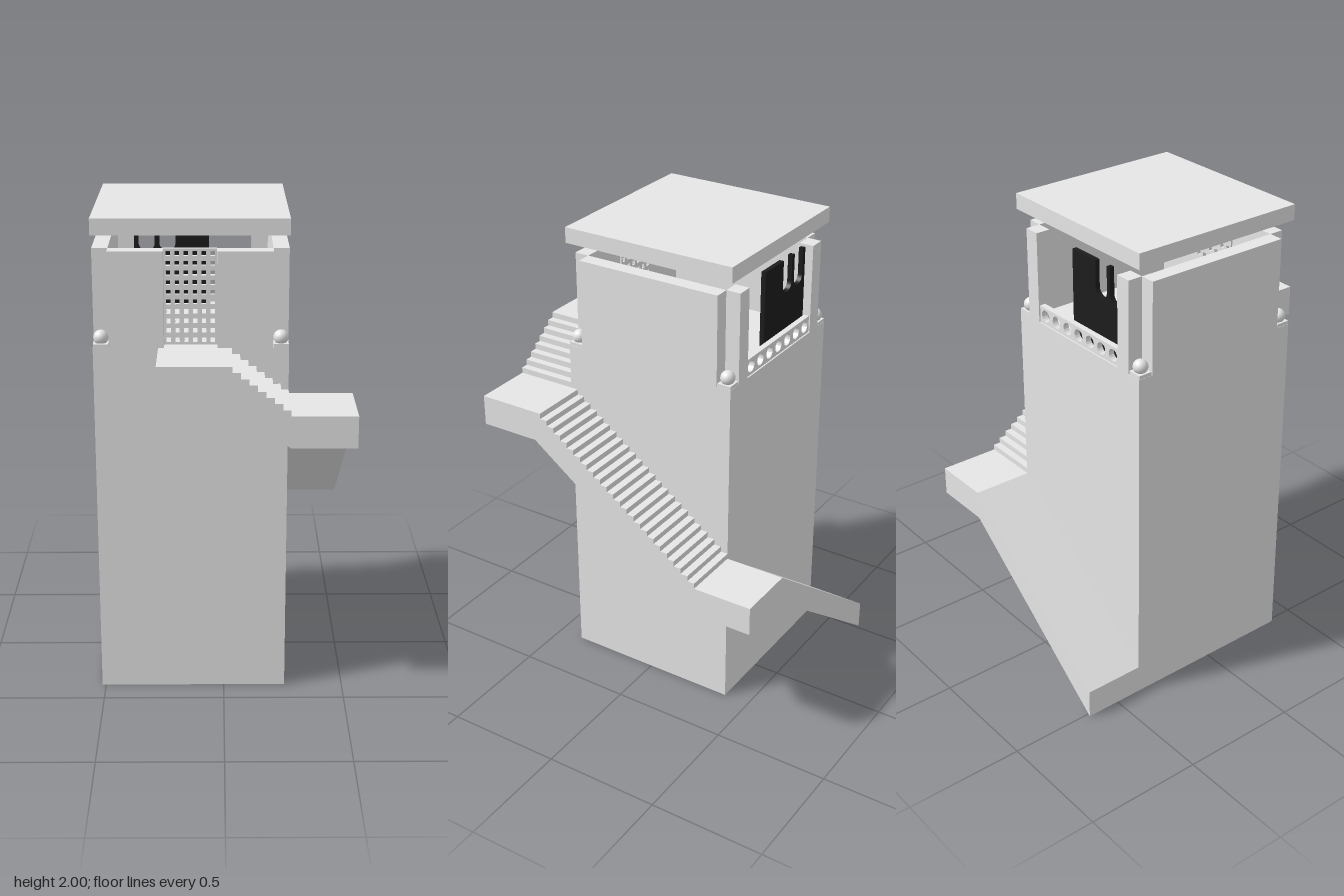
import * as THREE from 'three';

const CX = -0.129, HALF = 0.386, IN = 0.323, FLOOR = 1.487, WALL_TOP = 1.872;
const EAST = CX + HALF, WEST = CX - HALF;

export function createModel() {
  const stone = new THREE.MeshStandardMaterial({ color: 0xe6e6e6, side: THREE.DoubleSide });
  stone.name = 'stone';
  const black = new THREE.MeshStandardMaterial({ color: 0x1c1c1c, side: THREE.DoubleSide });
  black.name = 'black';
  const model = new THREE.Group();
  model.name = 'watchtower';

  const add = (name, geo, x = 0, y = 0, z = 0, parent = model, material = stone) => {
    const mesh = new THREE.Mesh(geo, material);
    mesh.name = name;
    mesh.position.set(x, y, z);
    parent.add(mesh);
  };
  // box given by its limits
  const block = (name, x0, x1, y0, y1, z0, z1, parent) =>
    add(name, new THREE.BoxGeometry(x1 - x0, y1 - y0, z1 - z0),
      (x0 + x1) / 2, (y0 + y1) / 2, (z0 + z1) / 2, parent);
  const extrude = (points, depth) => new THREE.ExtrudeGeometry(
    new THREE.Shape(points.map(p => new THREE.Vector2(...p))), { depth, bevelEnabled: false });
  // treads going down from (u0, y0) to (u1, y1)
  const steps = (u0, y0, u1, y1, n) => {
    const pts = [];
    for (let i = 0; i < n; i++) {
      const y = y0 + (y1 - y0) * i / n;
      pts.push([u0 + (u1 - u0) * i / n, y], [u0 + (u1 - u0) * (i + 1) / n, y]);
    }
    return pts;
  };
  // flat panel pierced by a regular grid of openings
  const pierced = (w, h, cols, rows, depth, fill, round) => {
    const s = new THREE.Shape([[0, 0], [w, 0], [w, h], [0, h]].map(p => new THREE.Vector2(...p)));
    const cw = w / cols, ch = h / rows;
    for (let c = 0; c < cols; c++) for (let r = 0; r < rows; r++) {
      const x = (c + 0.5) * cw, y = (r + 0.5) * ch, a = cw * fill / 2, b = ch * fill / 2;
      const hole = new THREE.Path();
      if (round) hole.absarc(x, y, Math.min(a, b), 0, Math.PI * 2, true);
      else hole.moveTo(x - a, y - b).lineTo(x - a, y + b).lineTo(x + a, y + b).lineTo(x + a, y - b).closePath();
      s.holes.push(hole);
    }
    return new THREE.ExtrudeGeometry(s, { depth, bevelEnabled: false, curveSegments: 8 });
  };

  // hollow shaft, open underneath
  const shaft = new THREE.BoxGeometry(HALF * 2, FLOOR, HALF * 2);
  const idx = Array.from(shaft.index.array);
  idx.splice(18, 6);
  shaft.setIndex(idx);
  shaft.clearGroups();
  add('towerShaft', shaft, CX, FLOOR / 2, 0);

  // lookout room: walls leave square notches at the corners
  const room = new THREE.Group();
  room.name = 'lookoutRoom';
  model.add(room);
  block('frontWallRight', CX - IN, -0.235, FLOOR, WALL_TOP, IN, HALF, room);
  block('frontWallLeft', -0.025, CX + IN, FLOOR, WALL_TOP, IN, HALF, room);
  for (const s of [-1, 1]) {
    const a = CX + s * IN, b = CX + s * HALF, c = CX + s * 0.255;
    block('sideWall', Math.min(a, b), Math.max(a, b), FLOOR, WALL_TOP, -IN, IN, room);
    block('windowPost', Math.min(a, c), Math.max(a, c), FLOOR, WALL_TOP, -HALF, -IN, room);
    for (const t of [-1, 1]) {
      block('ballBase', CX + s * 0.355 - 0.03, CX + s * 0.355 + 0.03, FLOOR, FLOOR + 0.015,
        t * 0.355 - 0.03, t * 0.355 + 0.03, room);
      add('cornerBall', new THREE.SphereGeometry(0.03, 20, 14), CX + s * 0.355, 1.523, t * 0.355, room);
    }
  }

  // recessed lattice door and window railing
  add('latticeDoor', pierced(0.21, WALL_TOP - FLOOR, 6, 10, 0.02, 0.5, false), -0.235, FLOOR, 0.315, room);
  add('windowRailing', pierced(0.51, 0.073, 7, 1, 0.025, 0.7, true), CX - 0.255, FLOOR, -0.38, room);

  // black window screen with two round-bottomed notches in its top edge
  const screen = new THREE.Shape();
  screen.moveTo(-0.385, FLOOR).lineTo(-0.06, FLOOR).lineTo(-0.06, 1.86);
  for (const x of [-0.24, -0.33]) {
    screen.lineTo(x + 0.035, 1.86).lineTo(x + 0.035, 1.75);
    screen.absarc(x, 1.75, 0.035, 0, Math.PI, true);
    screen.lineTo(x - 0.035, 1.86);
  }
  screen.lineTo(-0.385, 1.86).closePath();
  add('windowScreen', new THREE.ExtrudeGeometry(screen, { depth: 0.02, bevelEnabled: false, curveSegments: 8 }),
    0, 0, -0.35, room, black);

  // flat roof slab
  block('roof', WEST, EAST, 1.934, 2, -HALF, HALF);

  // front landing and short flight
  add('frontStair', extrude([[-0.258, 1.36], [0, 1.36], [EAST, 1.16], [EAST, 1.29],
    ...steps(0, FLOOR, EAST, 1.29, 8).reverse(), [-0.258, FLOOR]], 0.645 - HALF), 0, 0, HALF);

  // side flight with both corner landings
  const side = extrude([[0.645, 1.16], [0.645, 1.29],
    ...steps(HALF, 1.29, -HALF, 0.71, 24), [-HALF, 0.71],
    [-0.645, 0.71], [-0.645, 0.585], [-HALF, 0.585], [HALF, 1.16]], 0.515 - EAST);
  side.rotateY(-Math.PI / 2);
  add('sideStair', side, 0.515, 0, 0);

  // smooth ramp down the back to the ground
  add('backRamp', extrude([[WEST, 0], [EAST, 0.585], [EAST, 0.71], [WEST, 0.125]], 0.645 - HALF), 0, 0, -0.645);

  return model;
}
